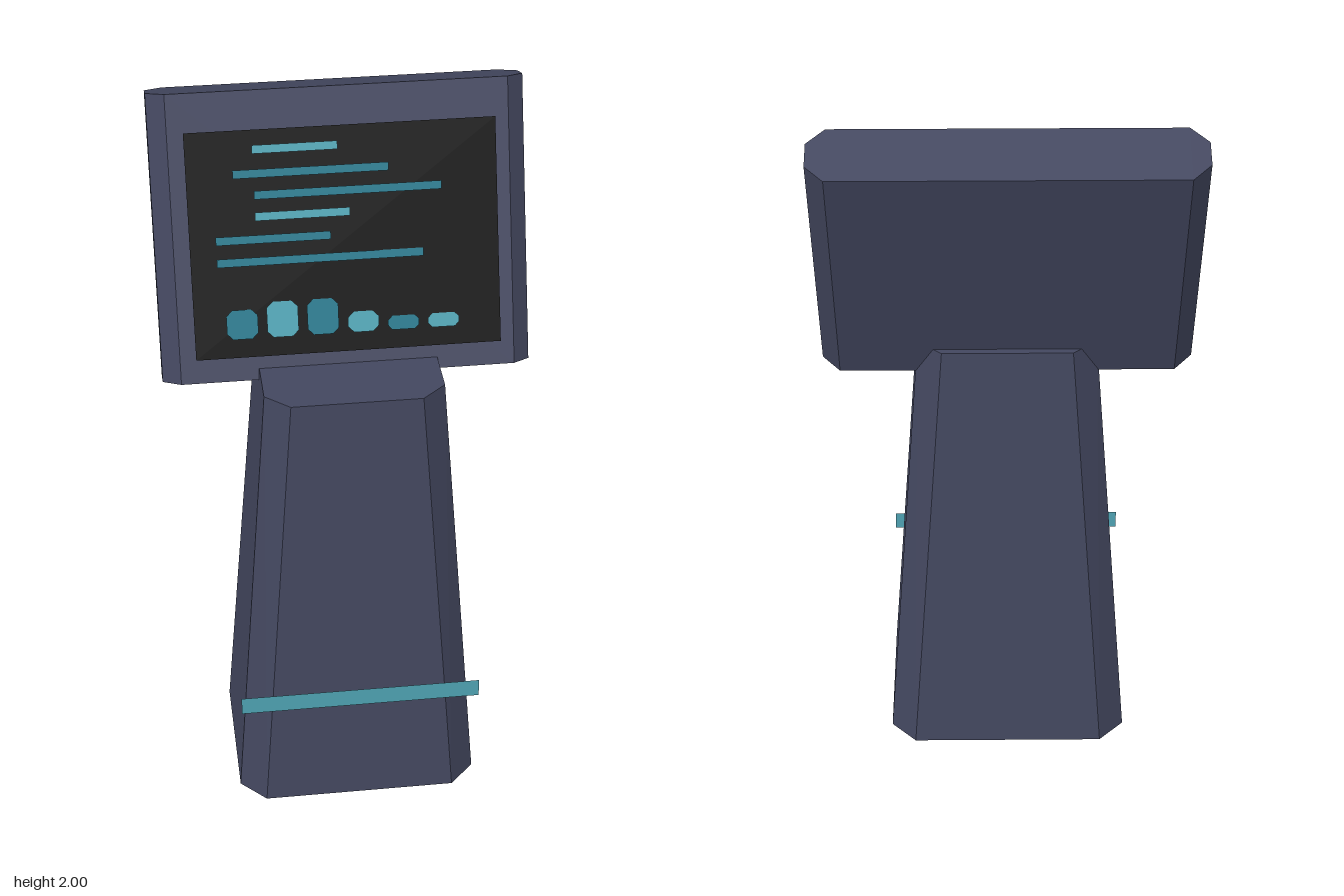
import * as THREE from 'three';
import { ConvexGeometry } from 'three/addons/geometries/ConvexGeometry.js';

const material = (name, color, side = THREE.FrontSide) => {
  const m = new THREE.MeshStandardMaterial({ color, side });
  m.name = name;
  return m;
};

// Rectangle with cut corners, as a horizontal ring of points at height y
function ring(y, halfWidth, front, back, cutX, cutZ) {
  const points = [];
  for (const s of [-1, 1]) {
    points.push(
      new THREE.Vector3(s * (halfWidth - cutX), y, front),
      new THREE.Vector3(s * halfWidth, y, front - cutZ),
      new THREE.Vector3(s * halfWidth, y, back + cutZ),
      new THREE.Vector3(s * (halfWidth - cutX), y, back)
    );
  }
  return points;
}

// Flat rectangle with cut corners, facing +z
function cutPlate(w, h, cut) {
  const x = w / 2, y = h / 2;
  return new THREE.ShapeGeometry(new THREE.Shape([
    [-x + cut, -y], [x - cut, -y], [x, -y + cut], [x, y - cut],
    [x - cut, y], [-x + cut, y], [-x, y - cut], [-x, -y + cut],
  ].map(([a, b]) => new THREE.Vector2(a, b))));
}

export function createModel() {
  const model = new THREE.Group();
  model.name = 'infoKiosk';

  const body = material('slate body', 0x43475f);
  const black = material('screen black', 0x0c0c0c, THREE.DoubleSide);
  const bright = material('bright teal', 0x4fa3b3, THREE.DoubleSide);
  const deep = material('deep teal', 0x25788c, THREE.DoubleSide);

  const add = (parent, name, geometry, mat, x = 0, y = 0, z = 0) => {
    const mesh = new THREE.Mesh(geometry, mat);
    mesh.name = name;
    mesh.position.set(x, y, z);
    parent.add(mesh);
    return mesh;
  };

  // Tapered pedestal
  add(model, 'pedestal', new ConvexGeometry([
    ...ring(0, 0.34, 0.333, -0.22, 0.07, 0.072),
    ...ring(1.305, 0.24, 0.255, -0.14, 0.065, 0.058),
  ]), body);

  // Glowing strip in front of the pedestal
  add(model, 'accentStrip', new THREE.PlaneGeometry(0.67, 0.055), bright, 0, 0.376, 0.352);

  // Tilted display head
  const tilt = THREE.MathUtils.degToRad(20);
  const head = new THREE.Group();
  head.name = 'displayHead';
  head.position.set(0, 1.609, -0.14);
  head.rotation.x = -tilt;
  model.add(head);

  add(head, 'housing', new ConvexGeometry([
    ...ring(-0.385, 0.497, 0.085, -0.085, 0.048, 0.048),
    ...ring(0.385, 0.497, 0.085, -0.085, 0.048, 0.048),
  ]), body);

  // Screen floats just off the housing
  const screenZ = 0.123;
  add(head, 'screen', new THREE.PlaneGeometry(0.815, 0.6), black, 0, -0.013, screenZ);

  // Height on the tilted screen for a given height above the ground
  const onScreen = (y) => (y - head.position.y - screenZ * Math.sin(tilt)) / Math.cos(tilt);

  // Readout lines: left, right, height, material
  [
    [-0.233, -0.01, 1.873, bright],
    [-0.286, 0.122, 1.814, deep],
    [-0.233, 0.26, 1.761, deep],
    [-0.233, 0.016, 1.708, bright],
    [-0.339, -0.037, 1.652, deep],
    [-0.339, 0.206, 1.597, deep],
  ].forEach(([x0, x1, y, mat], i) => {
    add(head, `readoutLine${i + 1}`, new THREE.PlaneGeometry(x1 - x0, 0.022), mat,
      (x0 + x1) / 2, onScreen(y), screenZ + 0.004);
  });

  // Chart blocks along the bottom of the screen
  [0.079, 0.096, 0.096, 0.056, 0.038, 0.038].forEach((h, i) => {
    add(head, `chartBlock${i + 1}`, cutPlate(0.083, h, Math.min(0.016, h * 0.3)),
      i % 2 ? bright : deep, -0.281 + i * 0.107, onScreen(1.404) + h / 2, screenZ + 0.004);
  });

  return model;
}
